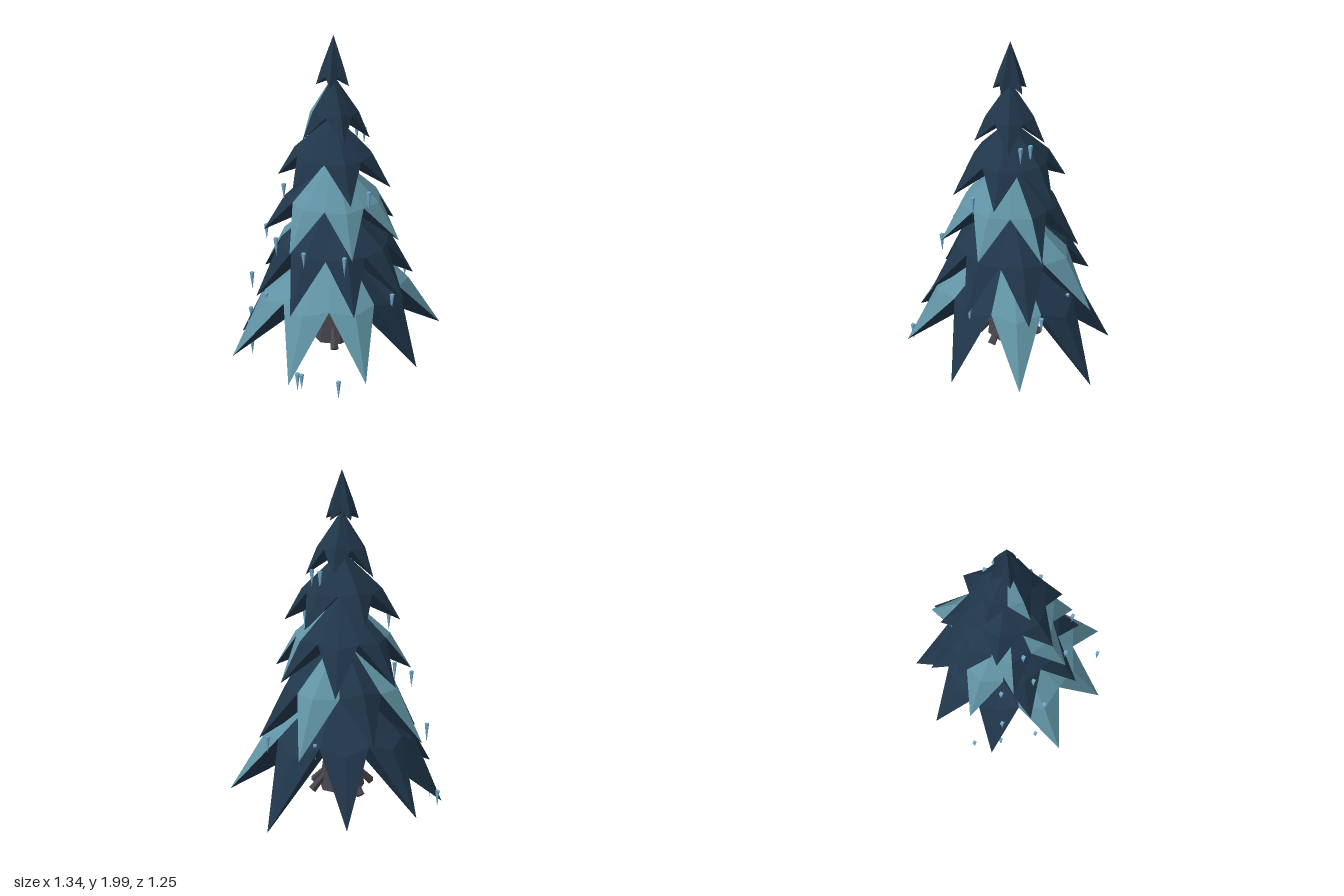
import * as THREE from 'three';

const mat = (name, color) =>
  Object.assign(new THREE.MeshStandardMaterial({ color, flatShading: true }), { name });

export function createModel() {
  const needles = mat('dark needles', 0x20364a);
  const frost = mat('frosted needles', 0x6092a3);
  const bark = mat('bark', 0x47444b);
  const ice = mat('ice', 0x6fa6c8);

  const tree = new THREE.Group();
  tree.name = 'frostyPine';
  const axisZ = -0.035;
  const add = (parent, name, geo, material) => {
    const m = new THREE.Mesh(geo, material);
    m.name = name;
    parent.add(m);
    return m;
  };

  // Trunk running up through the branch tiers, with roots round its foot
  const trunk = new THREE.Group();
  trunk.name = 'trunk';
  trunk.position.z = axisZ;
  tree.add(trunk);
  const profile = [[0, 0.09], [0.14, 0.09], [0.085, 0.5], [0.03, 1.2], [0.015, 1.8], [0, 1.85]];
  add(trunk, 'trunkStem', new THREE.LatheGeometry(profile.map(([r, y]) => new THREE.Vector2(r, y)), 7), bark);
  for (const angle of [-15, 40, 88, 158, 193, 270]) {
    const pivot = new THREE.Group();
    pivot.name = 'rootPivot';
    pivot.rotation.y = THREE.MathUtils.degToRad(angle);
    trunk.add(pivot);
    const root = add(pivot, 'root', new THREE.CylinderGeometry(0.018, 0.026, 0.14, 5), bark);
    root.position.set(0, 0.14, 0.145);
    root.rotation.x = -0.75;
  }

  // Point at radius r, angle a (from +z towards +x)
  const polar = (r, a, y) => [r * Math.sin(a), y, r * Math.cos(a) + axisZ];

  // Flat facets from corner points, three to a facet
  const facets = (...points) => {
    const g = new THREE.BufferGeometry();
    g.setAttribute('position', new THREE.Float32BufferAttribute(points.flat(), 3));
    g.computeVertexNormals();
    return g;
  };

  // One tier: a star of folded branches evenly turned round the axis, closed below.
  // reach and tipY repeat round the tier; whole and leading list the frosted branches.
  const addTier = ({ name, count, turn = 0, top, reach, tipY, ridge, shoulder, whole = [], leading = [] }) => {
    const tier = new THREE.Group();
    tier.name = name;
    tree.add(tier);
    const step = Math.PI * 2 / count;
    const radius = i => reach[(i + count) % count % reach.length];
    const height = i => tipY[i % tipY.length];
    const drop = top - tipY[0];
    const peak = polar(0, 0, top);
    const hub = polar(0, 0, top - drop * (shoulder + 0.06));
    const notch = i => polar((radius(i) + radius(i + 1)) * 0.32, turn + (i + 0.5) * step, top - drop * shoulder);
    for (let i = 0; i < count; i++) {
      const angle = turn + i * step;
      const tip = polar(radius(i), angle, height(i));
      const fold = polar(radius(i) * 0.69, angle, top - (top - height(i)) * ridge);
      const before = notch(i - 1), after = notch(i);
      const both = whole.includes(i);
      add(tier, 'branchLeadingHalf', facets(peak, before, fold, before, tip, fold),
        both || leading.includes(i) ? frost : needles);
      add(tier, 'branchTrailingHalf', facets(peak, fold, after, after, fold, tip), both ? frost : needles);
      add(tier, 'branchUnderside', facets(before, hub, tip, hub, after, tip), needles);
    }
  };

  addTier({ name: 'crownTier', count: 5, turn: 0.77, top: 2, reach: [0.1], tipY: [1.72], ridge: 0.65, shoulder: 0.82 });
  addTier({ name: 'upperTier', count: 5, top: 1.77, reach: [0.21], tipY: [1.43, 1.4], ridge: 0.57, shoulder: 0.63,
    leading: [4] });
  addTier({ name: 'upperMiddleTier', count: 6, top: 1.54, reach: [0.342], tipY: [1.1, 1.12, 1.13, 1.15, 1.14, 1.14],
    ridge: 0.54, shoulder: 0.53 });
  addTier({ name: 'middleTier', count: 7, turn: -0.03, top: 1.3, reach: [0.42], tipY: [0.8, 0.82, 0.81, 0.77],
    ridge: 0.54, shoulder: 0.52, whole: [0, 1, 6], leading: [2, 5] });
  addTier({ name: 'lowerMiddleTier', count: 8, turn: -0.04, top: 1.06,
    reach: [0.485, 0.49, 0.515, 0.57, 0.51, 0.515], tipY: [0.47, 0.46, 0.46, 0.44, 0.49, 0.44, 0.42, 0.45],
    ridge: 0.5, shoulder: 0.53, whole: [3, 5] });
  addTier({ name: 'bottomTier', count: 9, top: 0.82,
    reach: [0.655, 0.6, 0.68, 0.685, 0.63, 0.625, 0.61, 0.68, 0.65],
    tipY: [0.13, 0.05, 0.13, 0.03, 0.08, 0.08, 0.02, 0.11, 0.1],
    ridge: 0.52, shoulder: 0.5, whole: [0, 2, 7, 8] });

  // Icicles hanging from a given height at [x, z] spots
  const hang = (y, ...spots) => spots.forEach(([x, z], i) => {
    const len = 0.1 + 0.02 * (i % 2);
    const icicle = add(tree, 'icicle', new THREE.ConeGeometry(0.015, len, 4), ice);
    icicle.rotation.x = Math.PI;
    icicle.position.set(x, y - len / 2, z);
  });
  hang(1.44, [0.19, -0.045], [0.165, -0.11]);
  hang(1.14, [-0.3, -0.045], [0.135, 0.22]);
  hang(0.82, [-0.375, -0.21], [-0.365, 0], [-0.26, 0.245], [-0.055, 0.37]);
  hang(0.49, [-0.445, 0.05], [-0.47, -0.24], [0.49, -0.095], [0.27, 0.28], [0.28, -0.32]);
  hang(0.135, [-0.525, -0.03], [-0.49, -0.26], [-0.45, -0.43], [-0.145, 0.56], [-0.33, 0.43], [-0.35, 0.41]);
  return tree;
}
